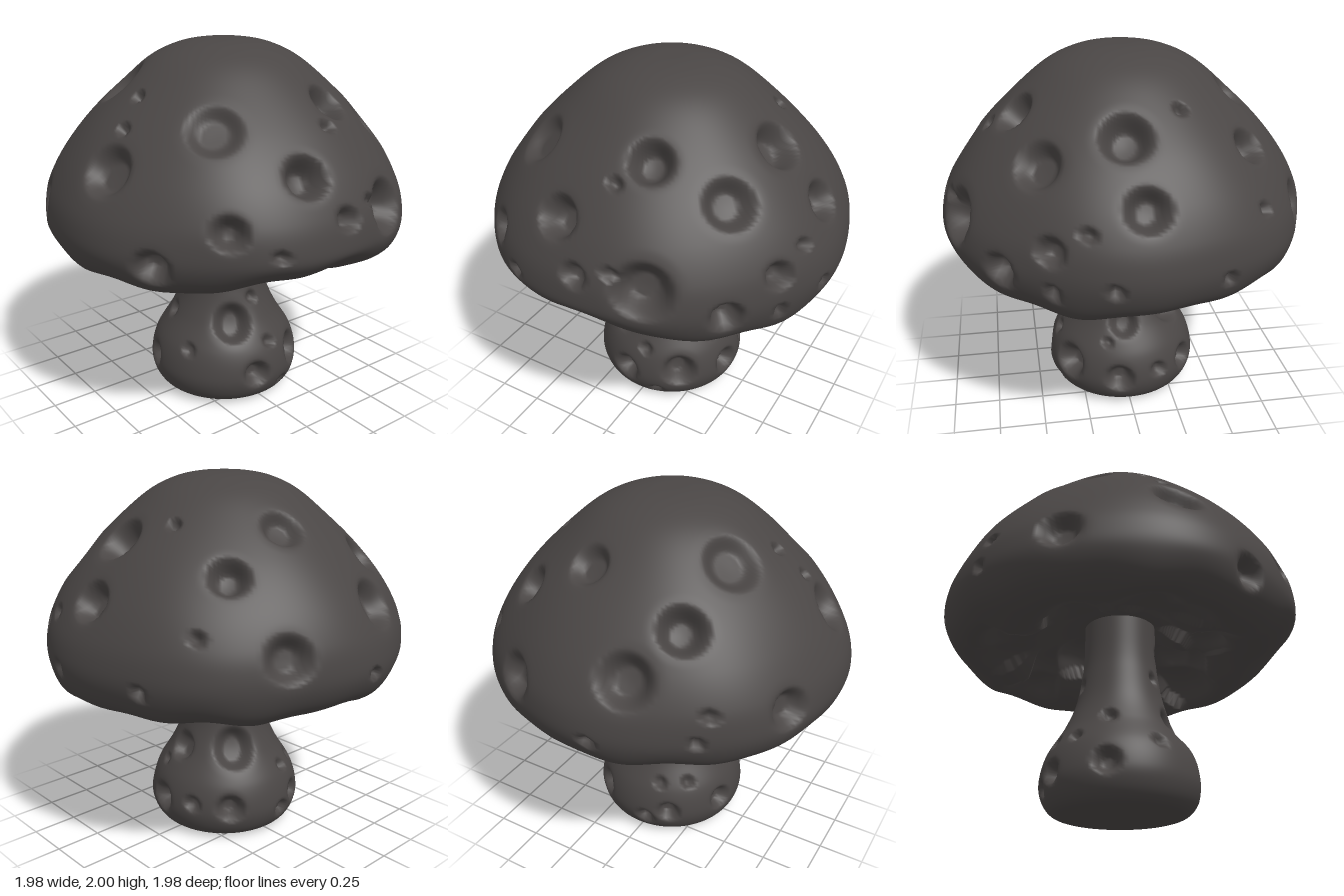
import * as THREE from 'three';
import { mergeVertices } from 'three/addons/utils/BufferGeometryUtils.js';

const smooth = THREE.MathUtils.smoothstep;

// Small seeded random generator
function seeded(seed) {
  return () => {
    seed = (seed * 16807) % 2147483647;
    return seed / 2147483647;
  };
}

// Smooth profile through a few [radius, height] points
function profile(points, count) {
  const curve = new THREE.SplineCurve(points.map(([r, y]) => new THREE.Vector2(r, y)));
  const list = curve.getSpacedPoints(count);
  list.forEach((p) => { p.x = Math.max(p.x, 0); });
  return list;
}

// Puts a steep pit on the outer profile: azimuth from (x, z), radius from height y
function pit(outline, x, z, y, size, depth) {
  let best = outline[0];
  for (const p of outline) if (Math.abs(p.y - y) < Math.abs(best.y - y)) best = p;
  const a = Math.atan2(x, z);
  const center = new THREE.Vector3(best.x * Math.sin(a), best.y, best.x * Math.cos(a));
  return { center, size, depth, steep: 0.8 };
}

// Lathed body pushed in along its normals at each pit, then reshaped by a rule
function pittedBody(outline, segments, pits, reshape) {
  const geo = new THREE.LatheGeometry(outline, segments);
  const pos = geo.attributes.position;
  const nor = geo.attributes.normal;
  const p = new THREE.Vector3();
  const n = new THREE.Vector3();
  const out = new THREE.Vector3();
  for (let i = 0; i < pos.count; i++) {
    p.fromBufferAttribute(pos, i);
    n.fromBufferAttribute(nor, i);
    out.copy(p);
    let push = 0;
    for (const { center, size, depth, steep } of pits) {
      const t = p.distanceTo(center) / size;
      if (t > 1.35) continue;
      const hole = 1 - smooth(t, 0.5, 0.98);
      const dish = 1 - smooth(t, 0, 1.35);
      const d = depth * (steep * hole + (1 - steep) * dish);
      if (Math.abs(d) > Math.abs(push)) push = d;
    }
    out.addScaledVector(n, -push);
    reshape(out, p);
    pos.setXYZ(i, out.x, out.y, out.z);
  }
  geo.deleteAttribute('uv');
  geo.deleteAttribute('normal');
  const merged = mergeVertices(geo, 1e-4);
  merged.computeVertexNormals();
  return merged;
}

function createCap() {
  const outline = profile([
    [0.12, 1.09], [0.3, 1.06], [0.48, 0.98], [0.64, 0.895], [0.74, 0.868], [0.84, 0.885], [0.93, 0.945],
    [0.98, 1.04], [0.985, 1.14], [0.955, 1.26], [0.87, 1.42], [0.73, 1.6], [0.54, 1.785], [0.39, 1.905],
    [0.25, 1.97], [0.12, 1.996], [0, 2.0],
  ], 180);
  // Outer face only, from the brim up
  const upper = outline.filter((p) => p.x > 0.92 || p.y > 1.2);

  // Large holes: x, z, y, size, depth
  const holes = [
    [-0.4, 0.47, 1.65, 0.15, 0.06], [0.22, 0.57, 1.71, 0.12, 0.12],
    [0.57, 0.47, 1.55, 0.14, 0.09], [-0.14, 0.82, 1.44, 0.12, 0.13],
    [-0.55, 0.78, 1.24, 0.09, 0.1], [-0.82, 0.54, 1.05, 0.1, 0.1],
    [0.02, 0.95, 1.24, 0.07, 0.07], [0.35, 0.88, 1.23, 0.16, 0.14],
    [0.69, 0.69, 1.08, 0.09, 0.1], [0.83, 0.45, 1.22, 0.08, 0.09],
    [0.6, 0.07, 1.69, 0.14, 0.12], [0.88, 0.01, 1.41, 0.12, 0.1],
    [-0.8, 0.18, 1.45, 0.15, 0.09], [-0.45, -0.24, 1.78, 0.16, 0.07],
    [-0.4, -0.6, 1.58, 0.13, 0.12], [0.13, -0.55, 1.75, 0.12, 0.07],
    [0.48, -0.55, 1.57, 0.11, 0.1], [-0.24, -0.84, 1.37, 0.15, 0.1],
    [0.4, -0.88, 1.21, 0.13, 0.09], [-0.87, -0.4, 1.17, 0.12, 0.09],
  ];
  // Small holes: x, z, y
  const nicks = [
    [-0.35, 0.9, 1.12], [0.1, 0.68, 1.63], [0.93, 0.3, 1.31], [0.86, 0.45, 1.03], [0.95, 0.17, 1.06],
    [0.88, -0.38, 1.05], [0.5, -0.2, 1.77], [0.72, -0.6, 1.31], [-0.68, 0.13, 1.62],
    [-0.54, 0.06, 1.75], [-0.62, -0.73, 1.24], [-0.58, -0.78, 1.1], [0.2, 0.92, 1.29],
    [-0.1, -0.95, 1.06],
  ];
  const pits = [
    ...holes.map((h) => pit(upper, ...h)),
    ...nicks.map(([x, z, y]) => pit(upper, x, z, y, 0.04, 0.045)),
  ];

  // Soft hollows and lumps under the cap
  const rand = seeded(41);
  for (let i = 0; i < 30; i++) {
    const a = i * 2.39996;
    const r = 0.32 + 0.36 * Math.sqrt(rand());
    pits.push({
      center: new THREE.Vector3(r * Math.sin(a), 1.21 - 0.48 * r, r * Math.cos(a)),
      size: 0.11 + 0.08 * rand(),
      depth: i % 3 === 0 ? -0.04 : 0.05 + 0.05 * rand(),
      steep: 0.15,
    });
  }

  // Uneven brim: raised at the front, drooping on the left
  const reshape = (out, p) => {
    const a = Math.atan2(p.x, p.z);
    const low = (1 - smooth(p.y, 0.9, 1.12)) * smooth(Math.hypot(p.x, p.z), 0.35, 0.7);
    const lobe = (at, width) => Math.exp(-(((a - at) / width) ** 2));
    out.y += low * (0.075 * lobe(-0.12, 0.45) - 0.05 * lobe(1.15, 0.55) - 0.02 * lobe(2.3, 0.4)
      + 0.008 * Math.sin(9 * a) + 0.006 * Math.sin(14 * a + 1));
    const ripple = 1 + 0.006 * Math.sin(7 * a + 4 * p.y) * smooth(Math.hypot(p.x, p.z), 0.2, 0.8);
    out.x *= ripple;
    out.z *= ripple;
  };
  return pittedBody(outline, 240, pits, reshape);
}

function createStem() {
  const outline = profile([
    [0, 0], [0.15, 0.002], [0.3, 0.005], [0.37, 0.025], [0.415, 0.09], [0.428, 0.18], [0.395, 0.31],
    [0.305, 0.46], [0.245, 0.6], [0.213, 0.76], [0.2, 0.9], [0.2, 1.14],
  ], 110);
  const side = outline.filter((p) => p.x > 0.19 && p.y > 0.03);

  // Holes: x, z, y, size, depth
  const holes = [
    [-0.14, 0.27, 0.47, 0.12, 0.09], [0.24, 0.33, 0.22, 0.11, 0.11],
    [-0.07, 0.41, 0.18, 0.085, 0.09], [0.06, 0.2, 0.77, 0.07, 0.06],
    [0.04, 0.37, 0.35, 0.04, 0.04], [0.01, 0.25, 0.58, 0.04, 0.035],
    [0.12, 0.38, 0.08, 0.04, 0.035], [-0.14, 0.16, 0.73, 0.04, 0.03],
    [-0.35, 0.15, 0.32, 0.045, 0.03], [0.42, 0.07, 0.19, 0.09, 0.09],
    [0.3, 0.03, 0.48, 0.09, 0.07], [0.15, -0.25, 0.5, 0.13, 0.08],
    [0.24, -0.31, 0.2, 0.085, 0.09], [0.39, -0.16, 0.21, 0.05, 0.045],
    [0.15, -0.13, 0.77, 0.06, 0.05], [0.21, 0.02, 0.73, 0.05, 0.04],
    [0.35, 0.13, 0.38, 0.03, 0.03], [-0.19, -0.37, 0.18, 0.07, 0.07],
    [-0.4, -0.12, 0.2, 0.08, 0.07], [-0.06, -0.41, 0.13, 0.055, 0.05],
    [-0.12, -0.34, 0.36, 0.04, 0.035], [-0.25, -0.25, 0.36, 0.04, 0.035],
    [-0.3, -0.1, 0.46, 0.05, 0.04], [-0.05, -0.21, 0.7, 0.045, 0.035],
    [-0.04, 0.2, 0.92, 0.05, 0.03],
  ];
  return pittedBody(outline, 130, holes.map((h) => pit(side, ...h)), () => {});
}

export function createModel() {
  const group = new THREE.Group();
  group.name = 'mushroom';
  const stone = new THREE.MeshStandardMaterial({ color: 0x4a4645 });
  stone.name = 'dark stone';

  const add = (name, geometry) => {
    const mesh = new THREE.Mesh(geometry, stone);
    mesh.name = name;
    group.add(mesh);
  };
  add('cap', createCap());
  add('stem', createStem());
  return group;
}
